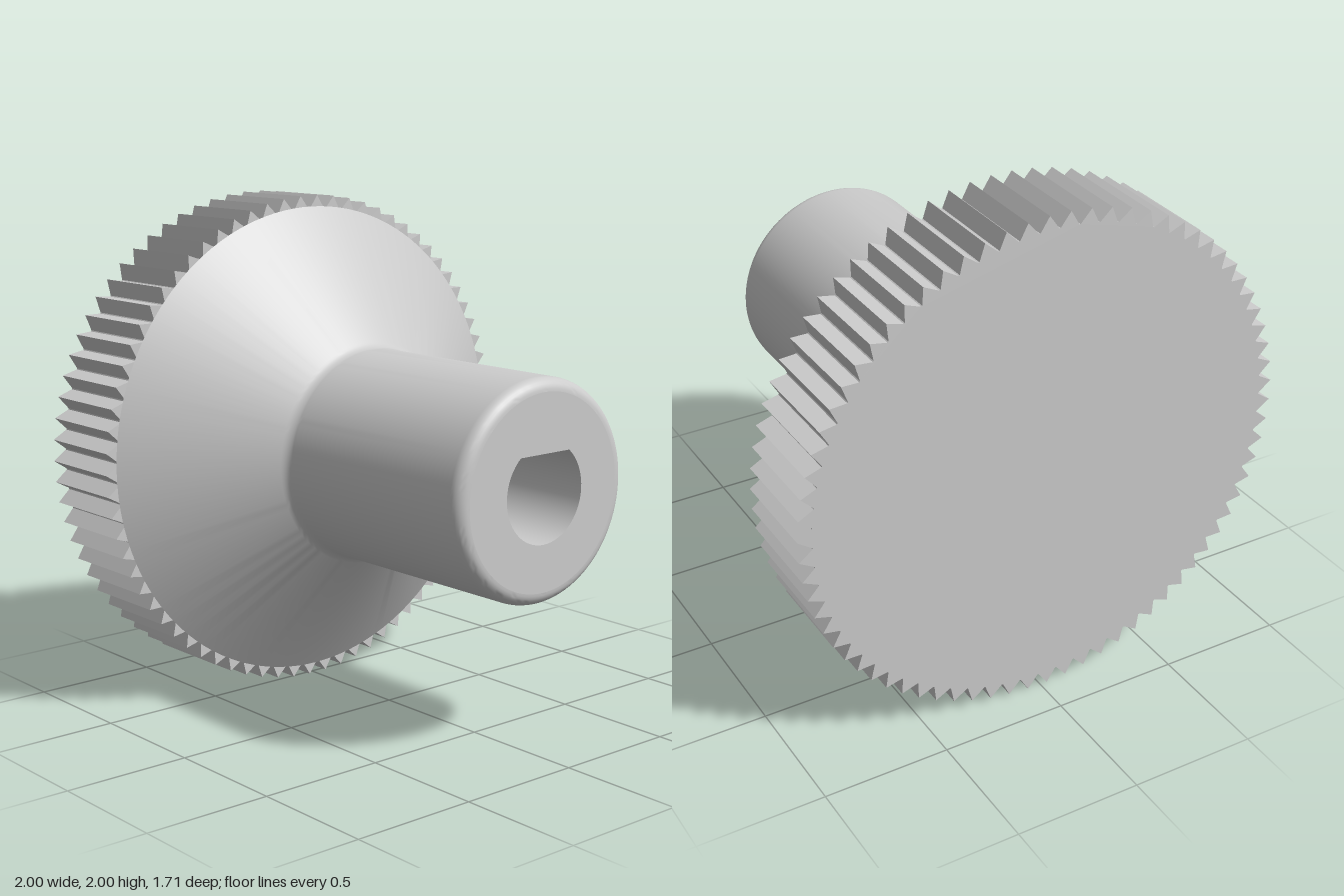
import * as THREE from 'three';
import { toCreasedNormals } from 'three/addons/utils/BufferGeometryUtils.js';

const FRONT = 0.855, BACK = -0.855, RIM_FRONT = -0.475, BORE_END = -0.1;
const HUB_R = 0.42, EDGE = 0.05, CONE_R = 0.955;
const TEETH = 74, TIP_R = 1, ROOT_R = 0.945, PHASE = 0.013;
const BORE_R = 0.19, FLAT_Y = 0.145;

// Samples of a circular arc as (x, y) points
function arc(cx, cy, r, from, to, steps) {
  return Array.from({ length: steps + 1 }, (_, i) => {
    const a = from + (to - from) * i / steps;
    return new THREE.Vector2(cx + r * Math.cos(a), cy + r * Math.sin(a));
  });
}

// D-shaped outline with its flat at the top, counter-clockwise
function boreOutline() {
  const a = Math.asin(FLAT_Y / BORE_R);
  return arc(0, 0, BORE_R, Math.PI - a, 2 * Math.PI + a, 48);
}

// Cone, concave blend, hub and rounded front edge in one turned profile
function hubGeometry() {
  const blend = new THREE.QuadraticBezierCurve(
    new THREE.Vector2(HUB_R + 0.025, -0.118),
    new THREE.Vector2(HUB_R, -0.1),
    new THREE.Vector2(HUB_R, -0.07));
  const profile = [
    new THREE.Vector2(CONE_R, RIM_FRONT),
    ...blend.getPoints(6),
    ...arc(HUB_R - EDGE, FRONT - EDGE, EDGE, 0, Math.PI / 2, 8),
  ];
  const geo = new THREE.LatheGeometry(profile, 128);
  geo.rotateX(Math.PI / 2);
  return toCreasedNormals(geo, 0.5);
}

// Disc with V-shaped teeth around its edge
function rimGeometry() {
  const pitch = 2 * Math.PI / TEETH, pts = [];
  const add = (r, a) => pts.push(new THREE.Vector2(r * Math.cos(a), r * Math.sin(a)));
  for (let i = 0; i < TEETH; i++) {
    const a = PHASE + i * pitch;
    add(ROOT_R, a - pitch * 0.47);
    add(TIP_R, a);
    add(ROOT_R, a + pitch * 0.47);
  }
  const geo = new THREE.ExtrudeGeometry(new THREE.Shape(pts),
    { depth: RIM_FRONT - BACK, bevelEnabled: false });
  geo.translate(0, 0, BACK);
  return geo;
}

// Inward-facing wall of the blind bore
function boreWallGeometry() {
  const pts = boreOutline(), pos = [];
  pts.forEach((p, i) => {
    const q = pts[(i + 1) % pts.length];
    pos.push(p.x, p.y, FRONT, q.x, q.y, FRONT, p.x, p.y, BORE_END);
    pos.push(q.x, q.y, FRONT, q.x, q.y, BORE_END, p.x, p.y, BORE_END);
  });
  const geo = new THREE.BufferGeometry();
  geo.setAttribute('position', new THREE.Float32BufferAttribute(pos, 3));
  return toCreasedNormals(geo, 0.5);
}

export function createModel() {
  const group = new THREE.Group();
  group.name = 'knurledKnob';
  const grey = new THREE.MeshStandardMaterial({ color: 0xcccccc });
  const add = (name, geo, z = 0) => {
    const mesh = new THREE.Mesh(geo, grey);
    mesh.name = name;
    mesh.position.set(0, 1, z);
    group.add(mesh);
  };

  add('hubAndCone', hubGeometry());
  add('knurledRim', rimGeometry());

  // Flat hub end pierced by the bore
  const face = new THREE.Shape(arc(0, 0, HUB_R - EDGE, 0, 2 * Math.PI, 128).slice(0, -1));
  face.holes.push(new THREE.Path(boreOutline()));
  add('hubFace', new THREE.ShapeGeometry(face), FRONT);

  add('boreWall', boreWallGeometry());
  add('boreBottom', new THREE.ShapeGeometry(new THREE.Shape(boreOutline())), BORE_END);
  return group;
}
